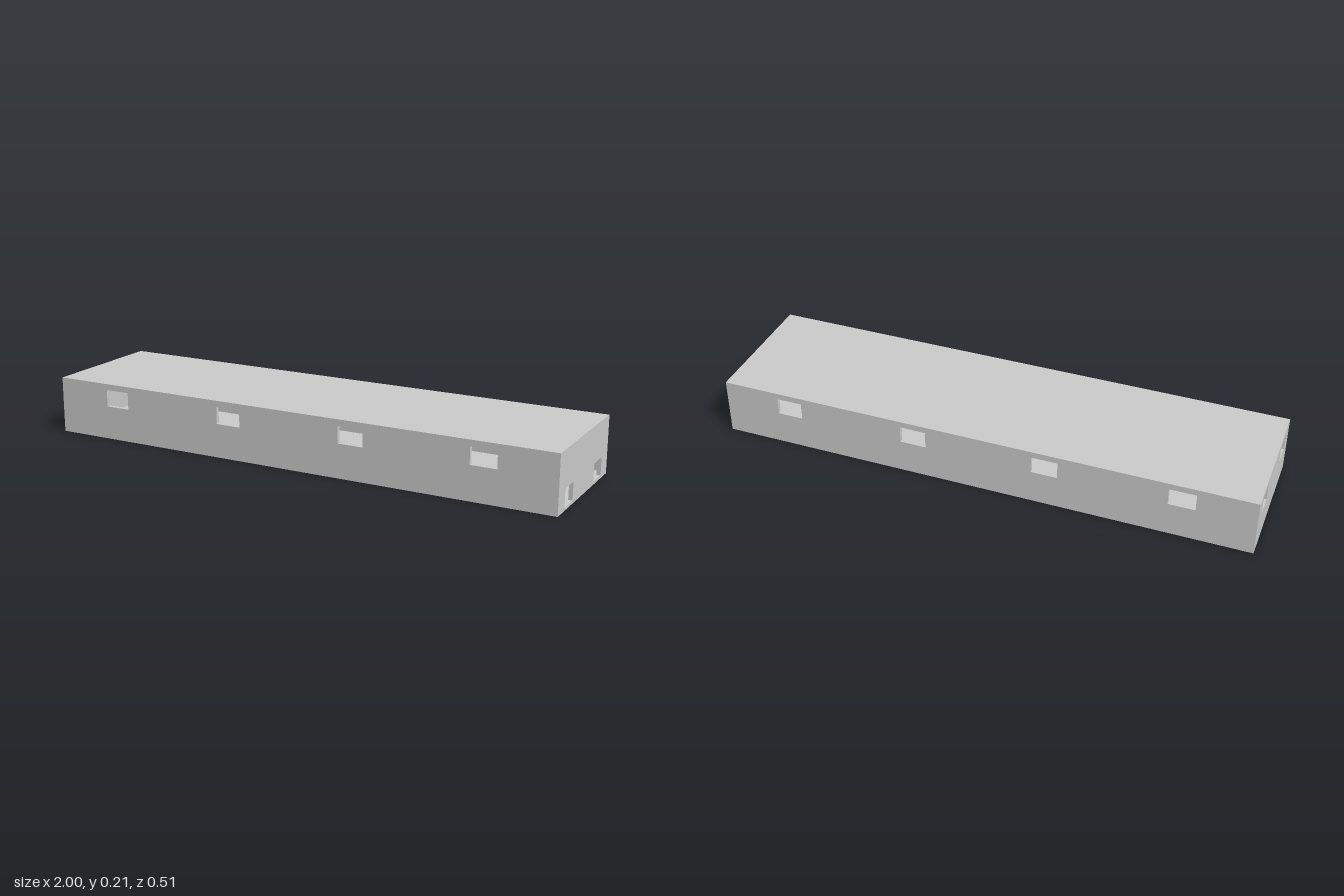
import * as THREE from 'three';

const L = 2, H = 0.214, D = 0.506;
const WALL = 0.015, FLOOR = 0.01, ROOF = 0.015;

const material = new THREE.MeshStandardMaterial({ color: 0xcccccc });

// Adds a closed rectangle to a shape or hole path.
function rect(path, x0, x1, y0, y1) {
  path.moveTo(x0, y0);
  path.lineTo(x1, y0);
  path.lineTo(x1, y1);
  path.lineTo(x0, y1);
  path.closePath();
  return path;
}

// Upright wall of the given width, pierced by rectangular openings, centred on its thickness.
function wall(name, width, centres, openingWidth, y0, y1) {
  const shape = rect(new THREE.Shape(), -width / 2, width / 2, FLOOR, H - ROOF);
  for (const c of centres) {
    shape.holes.push(rect(new THREE.Path(), c - openingWidth / 2, c + openingWidth / 2, y0, y1));
  }
  const geometry = new THREE.ExtrudeGeometry(shape, { depth: WALL, bevelEnabled: false });
  geometry.translate(0, 0, -WALL / 2);
  const mesh = new THREE.Mesh(geometry, material);
  mesh.name = name;
  return mesh;
}

function slab(name, thickness, y) {
  const mesh = new THREE.Mesh(new THREE.BoxGeometry(L, thickness, D), material);
  mesh.name = name;
  mesh.position.y = y;
  return mesh;
}

export function createModel() {
  const group = new THREE.Group();
  group.name = 'hollowBlock';

  // Floor and roof
  group.add(slab('floor', FLOOR, FLOOR / 2), slab('roof', ROOF, H - ROOF / 2));

  // Long walls with four high windows each
  for (const [name, side] of [['frontWall', 1], ['backWall', -1]]) {
    const mesh = wall(name, L, [-0.74, -0.248, 0.248, 0.74], 0.097, 0.127, 0.191);
    mesh.position.z = side * (D - WALL) / 2;
    group.add(mesh);
  }

  // End walls: low openings at +x, high openings at -x
  for (const [name, side, y0, y1] of [['lowOpeningEnd', 1, FLOOR + 0.0005, 0.077], ['highOpeningEnd', -1, 0.126, 0.191]]) {
    const mesh = wall(name, D - 2 * WALL, [-0.149, 0.149], 0.08, y0, y1);
    mesh.rotation.y = Math.PI / 2;
    mesh.position.x = side * (L - WALL) / 2;
    group.add(mesh);
  }

  return group;
}
